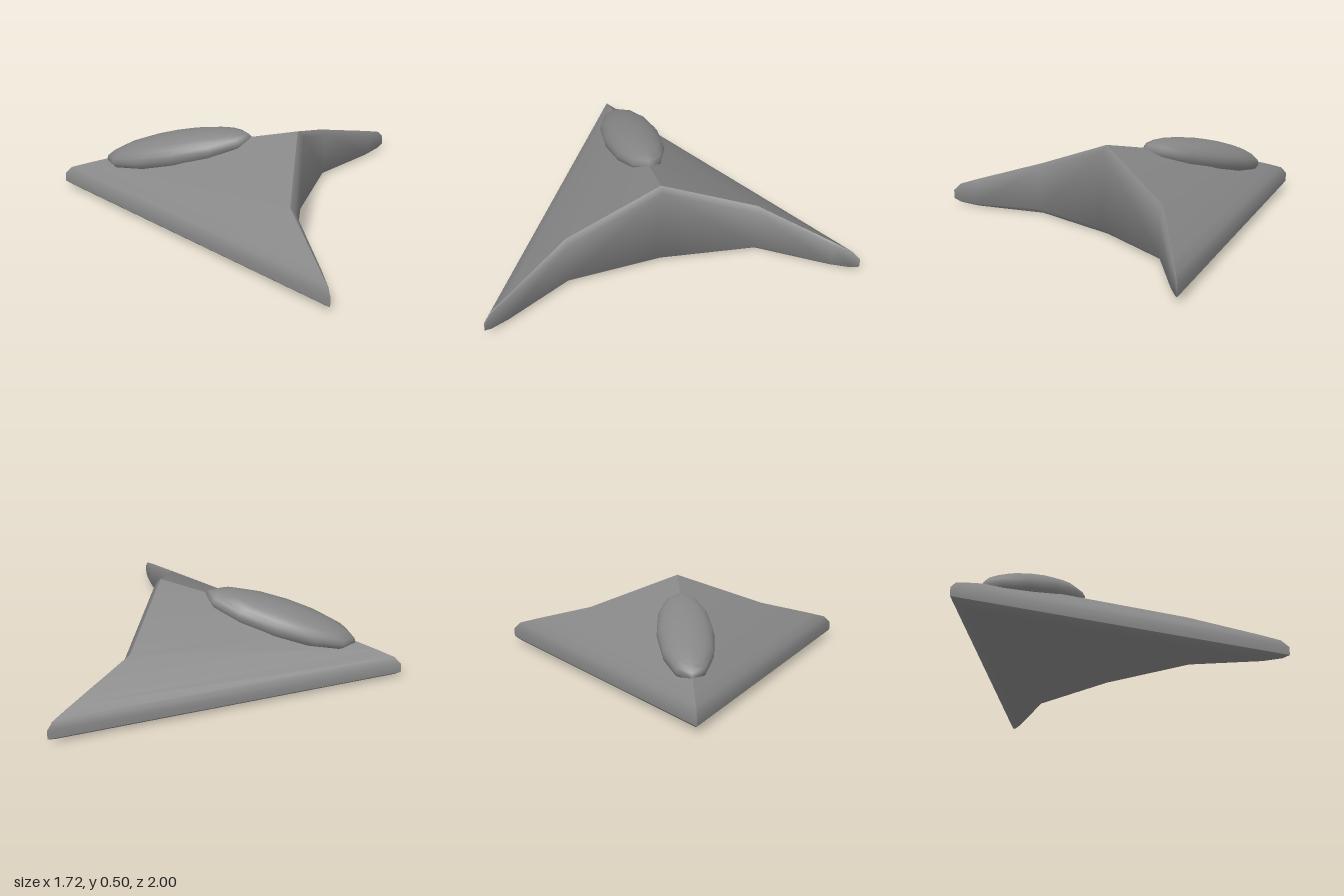
import * as THREE from 'three';
import { toCreasedNormals } from 'three/addons/utils/BufferGeometryUtils.js';

const material = () => new THREE.MeshStandardMaterial({ color: 0x868686 });

// Hull levels: [distance inward from the leading edge, top height, underside height]
const LEVELS = [
  [0, 0.09, 0.04],
  [0.02, 0.132, 0.022],
  [0.07, 0.17, 0.01],
  [0.255, 0.3, 0.007],
  [0.68, 0.5, 0.003],
];
const NOSE_X = -0.86;
const RIM = 0.03; // width of the rounding around the rear wall

// One half of the delta hull; side is +1 for +z and -1 for -z
function addHalf(skin, wall, side) {
  const tri = (target, a, b, c) => {
    const area = b.clone().sub(a).cross(c.clone().sub(a)).length();
    if (area < 1e-9) return;
    for (const p of side > 0 ? [a, b, c] : [a, c, b]) target.push(p.x, p.y, p.z * side);
  };
  const quad = (target, a, b, c, d) => { tri(target, a, b, c); tri(target, a, c, d); };

  // Rear outline in plan: wing tip, kink, centre
  const tip = new THREE.Vector2(0.86, 1);
  const kink = new THREE.Vector2(0.555 + 0.01 * side, 0.52);
  const centre = new THREE.Vector2(0.5, 0);
  const rearAt = (d) => d <= 0.255
    ? tip.clone().lerp(kink, d / 0.255)
    : kink.clone().lerp(centre, (d - 0.255) / 0.425);

  const rows = LEVELS.map(([d, top, bottom]) => {
    const r = rearAt(d);
    const bevel = RIM * Math.min(1, d / 0.15);
    const x = NOSE_X + 2 * d;
    const at = (px, py, pz) => new THREE.Vector3(px, py, pz);
    return {
      frontTop: at(x, top, 0),
      frontBottom: at(x, bottom, 0),
      // Rear rim from the top skin round to the underside
      rim: [
        at(r.x, top, r.y),
        at(r.x + bevel, top - bevel, r.y),
        at(r.x + bevel, bottom + bevel, r.y),
        at(r.x, bottom, r.y),
      ],
    };
  });

  // Blunt leading edge
  const edge = rows[0];
  quad(skin, edge.frontBottom, edge.rim[3], edge.rim[0], edge.frontTop);

  for (let i = 0; i < rows.length - 1; i++) {
    const a = rows[i], b = rows[i + 1];
    quad(skin, a.frontTop, a.rim[0], b.rim[0], b.frontTop); // top
    quad(skin, b.frontBottom, b.rim[3], a.rim[3], a.frontBottom); // underside
    for (let k = 0; k < 3; k++) quad(wall, a.rim[k + 1], b.rim[k + 1], b.rim[k], a.rim[k]);
  }
}

function creasedMesh(name, positions, creaseAngle) {
  const geometry = new THREE.BufferGeometry();
  geometry.setAttribute('position', new THREE.Float32BufferAttribute(positions, 3));
  const mesh = new THREE.Mesh(toCreasedNormals(geometry, creaseAngle), material());
  mesh.name = name;
  return mesh;
}

// Skin has a sharp ridge; the rear wall is rounded into its rim
function createHull() {
  const skin = [], wall = [];
  for (const side of [1, -1]) addHalf(skin, wall, side);
  const hull = new THREE.Group();
  hull.name = 'hull';
  hull.add(creasedMesh('hullSkin', skin, 0.72), creasedMesh('rearWall', wall, 1.2));
  return hull;
}

// Flattened ellipsoid lying along the sloping ridge
function createCanopy() {
  const canopy = new THREE.Mesh(new THREE.SphereGeometry(1, 12, 12), material());
  canopy.name = 'canopy';
  canopy.scale.set(0.44, 0.096, 0.158);
  canopy.rotation.z = 0.265;
  canopy.position.set(-0.177, 0.32, -0.004);
  return canopy;
}

export function createModel() {
  const model = new THREE.Group();
  model.name = 'deltaCraft';
  model.add(createHull(), createCanopy());
  return model;
}
